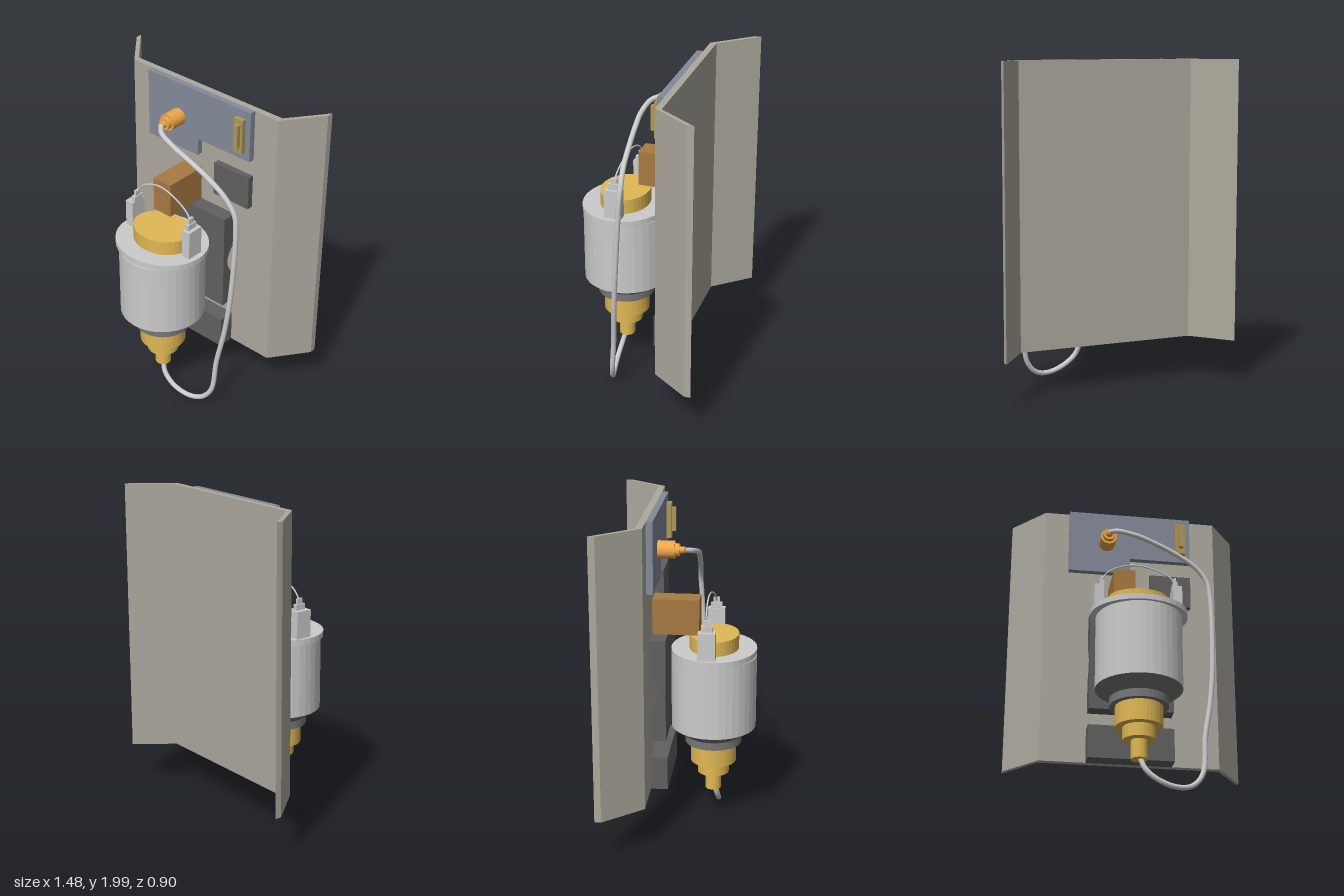
import * as THREE from 'three';

const mat = (color) => new THREE.MeshStandardMaterial({ color });
const flat = (color) => new THREE.MeshStandardMaterial({ color, flatShading: true });

const GREY = mat(0xcccccc), GREY_FLAT = flat(0xcccccc), PANEL = mat(0xada99e);
const DARK = flat(0x606060), COLLAR = flat(0x777777), SLATE = mat(0x858b9a);
const GOLD = flat(0xe0b854), BRASS = mat(0xae985a), ORANGE = flat(0xf0a648), BROWN = mat(0xa87a42);

export function createModel() {
  const model = new THREE.Group();
  const add = (name, geometry, material, parent = model) => {
    const mesh = new THREE.Mesh(geometry, material);
    mesh.name = name;
    parent.add(mesh);
    return mesh;
  };
  // Box given by its limits on each axis
  const box = (name, material, x0, x1, y0, y1, z0, z1, parent) =>
    add(name, new THREE.BoxGeometry(x1 - x0, y1 - y0, z1 - z0), material, parent)
      .position.set((x0 + x1) / 2, (y0 + y1) / 2, (z0 + z1) / 2);
  const extrude = (points, depth) => new THREE.ExtrudeGeometry(
    new THREE.Shape(points.map(([x, y]) => new THREE.Vector2(x, y))), { depth, bevelEnabled: false });

  // Folded back panel, outline drawn in plan and extruded upwards
  const plan = [[-0.742, -0.41], [-0.54, -0.177], [0.57, -0.177], [0.742, -0.41],
    [0.742, -0.45], [0.57, -0.217], [-0.54, -0.217], [-0.742, -0.45]];
  const panel = extrude(plan.map(([x, z]) => [x, -z]), 1.72);
  panel.rotateX(-Math.PI / 2);
  panel.translate(0, 0.28, 0);
  add('backPanel', panel, PANEL);

  // Stepped mounting plate
  const plate = extrude([[-0.385, 1.57], [0.01, 1.57], [0.01, 1.68], [0.405, 1.68],
    [0.405, 2], [-0.385, 2]], 0.039);
  plate.translate(0, 0, -0.177);
  add('mountingPlate', plate, SLATE);

  // Blocks fixed to the panel
  box('smallPlate', DARK, 0.14, 0.405, 1.355, 1.57, -0.177, -0.138);
  box('lowerBlock', DARK, -0.255, 0.275, 0.28, 0.49, -0.177, -0.073);
  box('bracket', BROWN, -0.125, 0.01, 1.245, 1.465, -0.177, 0.106);
  box('socketBase', BRASS, 0.305, 0.37, 1.73, 1.95, -0.138, -0.108);
  box('socketPlug', BRASS, 0.327, 0.355, 1.77, 1.92, -0.108, -0.083);

  // Rear block with a rounded channel cut through from side to side
  const side = new THREE.Shape();
  side.moveTo(0.177, 0.6);
  side.lineTo(0.177, 0.81);
  side.quadraticCurveTo(0.065, 0.92, 0.177, 1.03);
  side.lineTo(0.177, 1.245);
  side.lineTo(0.084, 1.245);
  side.lineTo(0.084, 0.6);
  const rear = new THREE.ExtrudeGeometry(side, { depth: 0.525, bevelEnabled: false, curveSegments: 16 });
  rear.rotateY(Math.PI / 2);
  rear.translate(-0.25, 0, 0);
  add('rearBlock', rear, DARK);

  // Canister: stacked discs [name, material, top radius, bottom radius, y0, y1, z radius]
  const canister = new THREE.Group();
  canister.name = 'canister';
  canister.position.set(0.016, 0, 0.187);
  model.add(canister);
  for (const [name, material, rTop, rBottom, y0, y1, rz = rTop] of [
    ['cap', GOLD, 0.19, 0.19, 1.13, 1.22, 0.152],
    ['flange', GREY_FLAT, 0.298, 0.298, 1.095, 1.13, 0.263],
    ['neckRing', COLLAR, 0.23, 0.23, 1.08, 1.095],
    ['body', GREY_FLAT, 0.263, 0.263, 0.62, 1.085],
    ['bodyTaper', COLLAR, 0.263, 0.177, 0.56, 0.62],
    ['collar', COLLAR, 0.177, 0.177, 0.51, 0.56],
    ['upperFitting', GOLD, 0.143, 0.143, 0.38, 0.51],
    ['middleFitting', GOLD, 0.099, 0.099, 0.3, 0.38],
    ['outlet', GOLD, 0.05, 0.05, 0.185, 0.3],
  ]) {
    const mesh = add(name, new THREE.CylinderGeometry(rTop, rBottom, y1 - y0, 36), material, canister);
    mesh.position.y = (y0 + y1) / 2;
    mesh.scale.z = rz / rTop;
  }

  // Stepped terminals on the flange
  for (const [name, x, xTip, y, z] of [
    ['rightTerminal', -0.23, -0.212, 1.3, 0.16],
    ['leftTerminal', 0.25, 0.24, 1.31, 0.183],
  ]) {
    const terminal = new THREE.Group();
    terminal.name = name;
    model.add(terminal);
    box('terminalBase', GREY, x - 0.028, x + 0.028, 1.13, y, z - 0.053, z + 0.053, terminal);
    box('terminalStep', GREY, xTip - 0.014, xTip + 0.014, y, y + 0.035, z - 0.035, z + 0.035, terminal);
    box('terminalTip', GREY, xTip - 0.008, xTip + 0.008, y + 0.035, y + 0.07, z - 0.02, z + 0.02, terminal);
  }

  // Round connector facing forwards, in three steps
  for (const [name, r, z0, z1] of [
    ['connectorBase', 0.053, -0.138, -0.035],
    ['connectorStep', 0.038, -0.035, -0.008],
    ['connectorTip', 0.021, -0.008, 0.022],
  ]) {
    const mesh = add(name, new THREE.CylinderGeometry(r, r, z1 - z0, 24), ORANGE);
    mesh.rotation.x = Math.PI / 2;
    mesh.position.set(-0.142, 1.778, (z0 + z1) / 2);
  }

  // Hose and wire follow smooth curves
  const tube = (name, points, radius, segments) => add(name, new THREE.TubeGeometry(
    new THREE.CatmullRomCurve3(points.map((p) => new THREE.Vector3(...p))), segments, radius, 12), GREY);
  tube('hose', [[-0.142, 1.778, 0.015], [-0.1, 1.765, 0.06], [0.02, 1.727, 0.085], [0.13, 1.685, 0.083],
    [0.27, 1.62, 0.075], [0.4, 1.535, 0.068], [0.47, 1.44, 0.062], [0.488, 1.33, 0.068],
    [0.485, 0.87, 0.098], [0.46, 0.6, 0.118], [0.42, 0.365, 0.137], [0.397, 0.13, 0.158],
    [0.33, 0.045, 0.178], [0.24, 0.025, 0.2], [0.13, 0.055, 0.215], [0.05, 0.12, 0.21],
    [0.02, 0.2, 0.19]], 0.016, 160);
  tube('terminalWire', [[-0.212, 1.35, 0.163], [-0.175, 1.41, 0.155], [-0.08, 1.46, 0.155],
    [0.01, 1.47, 0.16], [0.13, 1.44, 0.17], [0.21, 1.395, 0.178], [0.24, 1.35, 0.183]], 0.005, 48);

  return model;
}
